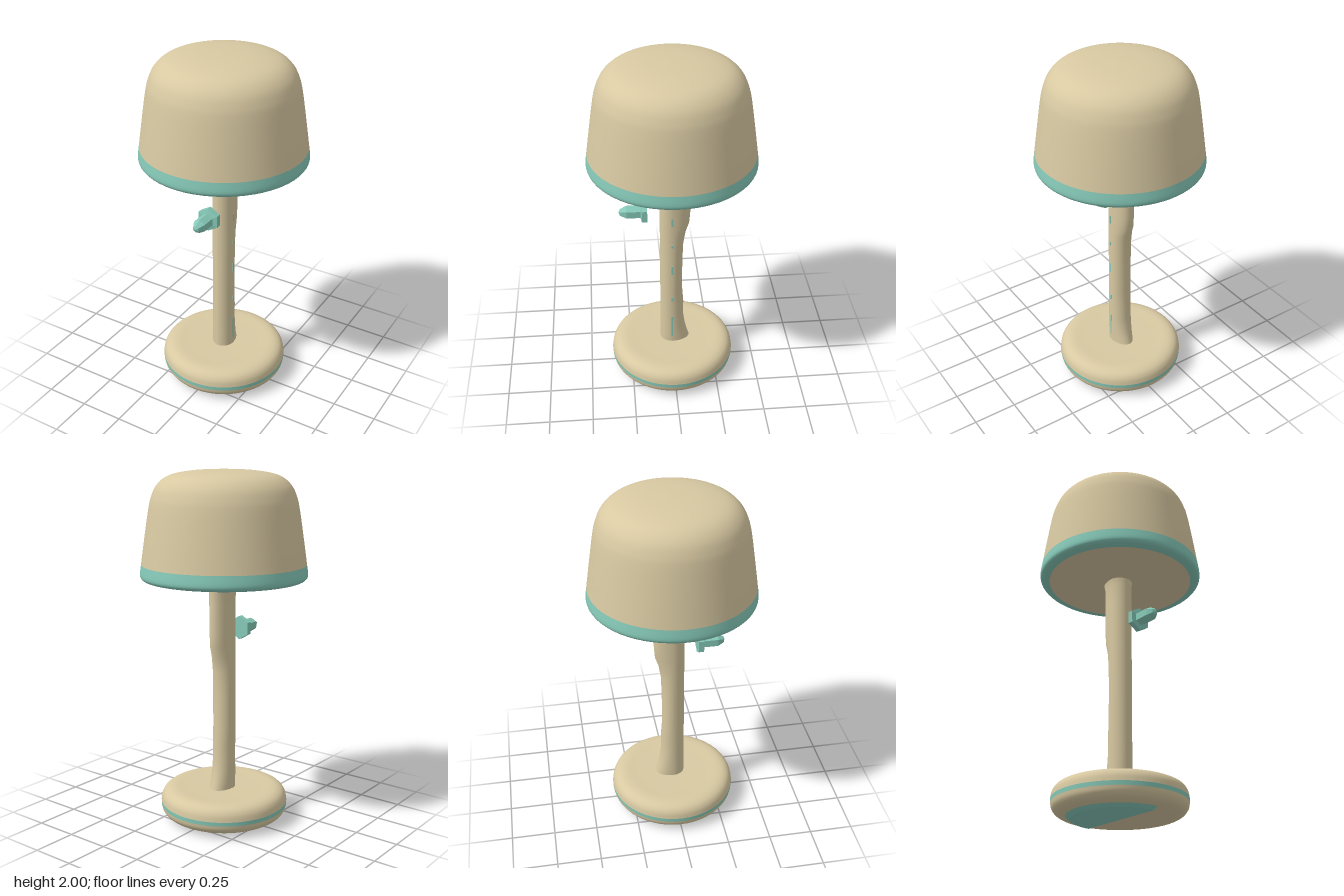
import * as THREE from 'three';

const cream = new THREE.MeshStandardMaterial({ color: 0xd8c9a2 });
cream.name = 'cream';
const teal = new THREE.MeshStandardMaterial({ color: 0x86c9b8 });
teal.name = 'teal';

function add(group, name, geometry, material) {
  const mesh = new THREE.Mesh(geometry, material);
  mesh.name = name;
  group.add(mesh);
  return mesh;
}

// Surface of revolution; profile points run [radius, y] from bottom to top
function turned(points, smooth = true, segments = 64) {
  let profile = points.map(([r, y]) => new THREE.Vector2(r, y));
  if (smooth) {
    profile = new THREE.SplineCurve(profile).getPoints(points.length * 5);
    profile.forEach((p) => { p.x = Math.max(p.x, 0); });
  }
  return new THREE.LatheGeometry(profile, segments);
}

// Round stem whose rear side swells by a rule: sections are [y, side radius, rear depth]
function stemGeometry() {
  const sections = [
    [0.17, 0.064, 0.105], [0.22, 0.064, 0.09], [0.28, 0.064, 0.076], [0.36, 0.063, 0.066],
    [0.44, 0.063, 0.068], [0.55, 0.063, 0.06], [0.75, 0.063, 0.06], [0.88, 0.063, 0.065],
    [0.96, 0.063, 0.078], [1.02, 0.063, 0.098], [1.1, 0.063, 0.104], [1.25, 0.063, 0.106],
    [1.36, 0.064, 0.105], [1.41, 0.075, 0.115],
  ];
  const sides = 32;
  const geometry = new THREE.CylinderGeometry(1, 1, 1, sides, sections.length - 1, true);
  const pos = geometry.attributes.position;
  for (let i = 0; i < pos.count; i++) {
    const row = sections.length - 1 - Math.floor(i / (sides + 1));
    const [y, side, rear] = sections[row];
    const z = pos.getZ(i);
    pos.setXYZ(i, pos.getX(i) * side, y, z * (z > 0 ? 0.07 : rear));
  }
  geometry.computeVertexNormals();
  return geometry;
}

export function createModel() {
  const model = new THREE.Group();
  model.name = 'tableLamp';

  // Foot: rounded disc with a thin band around it
  const foot = new THREE.Group();
  foot.name = 'foot';
  model.add(foot);
  add(foot, 'footLower', turned([[0, 0.016], [0.15, 0.016], [0.29, 0.018], [0.335, 0.03], [0.358, 0.055], [0.365, 0.082]]), cream);
  add(foot, 'footBand', turned([[0.365, 0.082], [0.366, 0.105]], false), teal);
  add(foot, 'footUpper', turned([[0.366, 0.105], [0.358, 0.142], [0.335, 0.17], [0.29, 0.184], [0.2, 0.182], [0, 0.178]]), cream);

  // Half-round pad under one side of the foot
  const pad = new THREE.CylinderGeometry(0.285, 0.26, 0.016, 32, 1, false, Math.PI, Math.PI);
  add(foot, 'footPad', pad.translate(0, 0.008, 0), teal);

  // Stem with a broken seam line down one side
  add(model, 'stem', stemGeometry(), cream);
  const seams = [[0.22, 0.37], [0.49, 0.52], [0.69, 0.75], [0.88, 0.9], [1.03, 1.08], [1.22, 1.39]];
  for (const [low, high] of seams) {
    const strip = new THREE.BoxGeometry(0.004, high - low, 0.01);
    add(model, 'stemSeam', strip.translate(0.063, (low + high) / 2, 0.003), teal);
  }

  // Shade: domed cover, rounded rim and closed underside
  const shade = new THREE.Group();
  shade.name = 'shade';
  model.add(shade);
  add(shade, 'shadeUnderside', turned([[0, 1.398], [0.41, 1.398]], false), cream);
  add(shade, 'shadeRim', turned([[0.41, 1.398], [0.44, 1.4], [0.458, 1.41], [0.465, 1.432], [0.458, 1.485]]), teal);
  add(shade, 'shadeCover', turned([[0.458, 1.485], [0.437, 1.63], [0.412, 1.79], [0.396, 1.855], [0.37, 1.91],
    [0.325, 1.953], [0.26, 1.978], [0.15, 1.994], [0, 2]]), cream);

  // Faceted knob floating in front of the stem
  const knob = turned([[0, 0], [0.068, 0], [0.068, 0.03], [0.04, 0.036], [0.04, 0.115], [0.02, 0.15], [0, 0.158]], false, 6)
    .toNonIndexed();
  knob.computeVertexNormals();
  knob.rotateX(Math.PI / 2);
  add(model, 'knob', knob, teal).position.set(0, 1.1, 0.142);

  return model;
}
